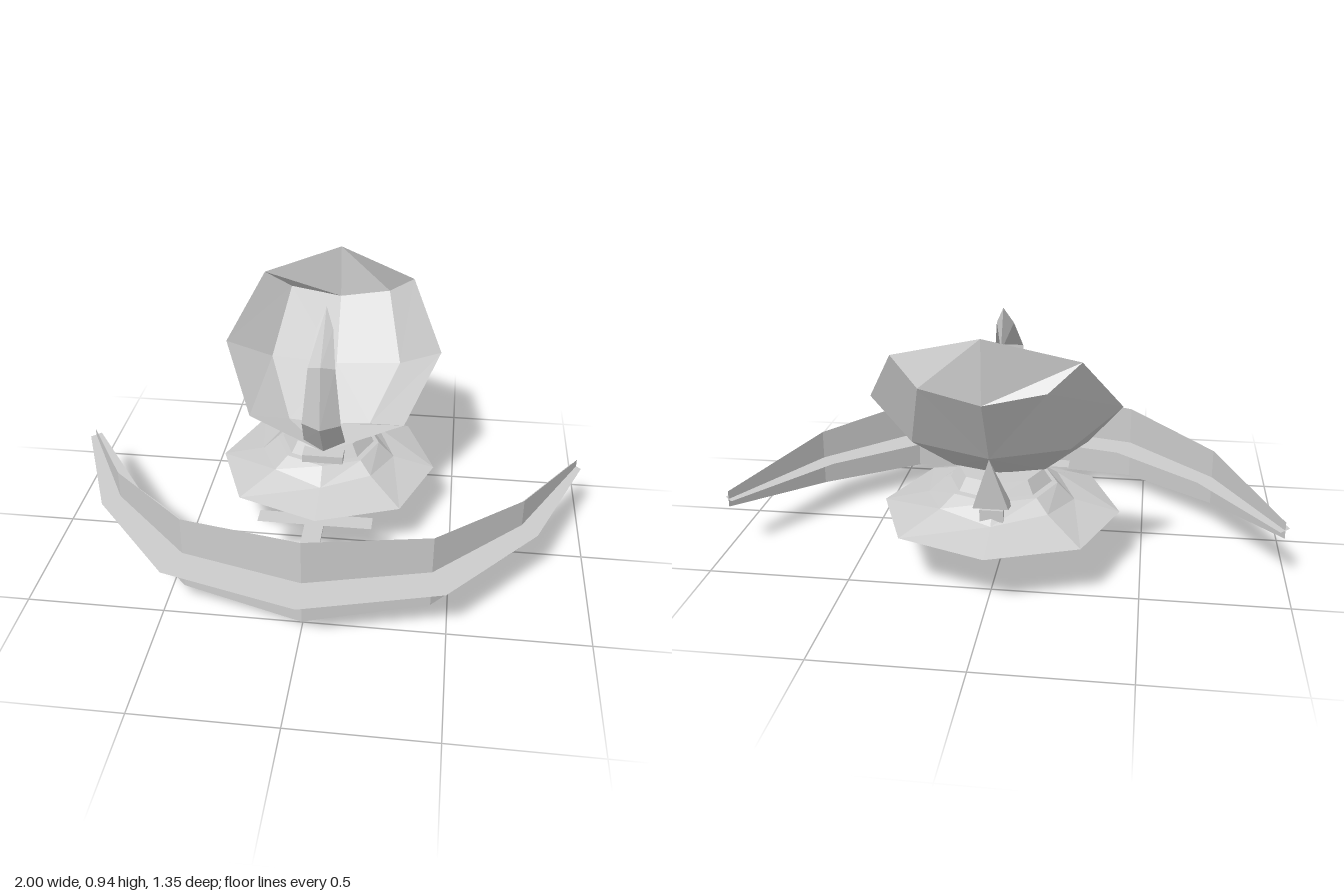
import * as THREE from 'three';

const grey = new THREE.MeshStandardMaterial({ color: 0xcccccc, flatShading: true, side: THREE.DoubleSide });
grey.name = 'light grey';

// Skins a row of equal-length cross-sections; wrap joins last point to first
function loft(rings, wrap = true) {
  const pos = [];
  const n = rings[0].length;
  for (let i = 0; i + 1 < rings.length; i++) {
    for (let j = 0; j < (wrap ? n : n - 1); j++) {
      const k = (j + 1) % n;
      const a = rings[i][j], b = rings[i][k], c = rings[i + 1][k], d = rings[i + 1][j];
      pos.push(...a, ...b, ...c, ...a, ...c, ...d);
    }
  }
  const g = new THREE.BufferGeometry();
  g.setAttribute('position', new THREE.Float32BufferAttribute(pos, 3));
  g.computeVertexNormals();
  return g;
}

// Eight points around the hull axis; axis and diagonal points may differ
function octagon(r, y, rDiag = r, yDiag = y) {
  return Array.from({ length: 8 }, (_, i) => {
    const a = (i * Math.PI) / 4;
    const rad = i % 2 ? rDiag : r;
    return [rad * Math.sin(a), i % 2 ? yDiag : y, -0.25 + rad * Math.cos(a)];
  });
}

export function createModel() {
  const group = new THREE.Group();
  const add = (name, geometry, x = 0, y = 0, z = 0) => {
    const mesh = new THREE.Mesh(geometry, grey);
    mesh.name = name;
    mesh.position.set(x, y, z);
    group.add(mesh);
    return mesh;
  };

  // Crescent: an upright and a flat sheet crossing each other
  // each station: outer x, z, inner x, z, half height
  const half = [
    [0, 0.67, 0, 0.395, 0.17],
    [0.49, 0.535, 0.39, 0.3, 0.145],
    [0.81, 0.16, 0.7, 0.04, 0.107],
    [1.0, -0.31, 0.965, -0.345, 0.03],
  ];
  const mirrored = half.slice(1).reverse().map(([a, b, c, d, h]) => [-a, b, -c, d, h]);
  const stations = [...mirrored, ...half];
  add('crescentFlatSheet', loft(stations.map(([ox, oz, ix, iz]) => [[ox, 0.2, oz], [ix, 0.2, iz]]), false));
  add('crescentUprightSheet', loft(stations.map(([ox, oz, ix, iz, h]) => {
    const x = (ox + ix) / 2, z = (oz + iz) / 2;
    return [[x, 0.2 - h, z], [x, 0.2 + h, z]];
  }), false));

  // Hull: umbrella top and shallow cone underside
  add('hull', loft([
    octagon(0, 0.135),
    octagon(0.42, 0.2, 0.43),
    octagon(0.26, 0.24, 0.26, 0.26),
    octagon(0.2, 0.3),
    octagon(0, 0.31),
  ]));

  // Turntable under the dish
  add('turntable', new THREE.CylinderGeometry(0.15, 0.18, 0.045, 8), 0, 0.327, -0.25);
  add('armMount', new THREE.BoxGeometry(0.155, 0.03, 0.1), 0, 0.325, -0.105);

  // Beam reaching forward, crossed sheets
  const beam = new THREE.PlaneGeometry(0.07, 0.42);
  add('beamFlat', beam, 0, 0.2, 0.16).rotation.x = -Math.PI / 2;
  add('beamUpright', beam, 0, 0.2, 0.16).rotation.set(-Math.PI / 2, Math.PI / 2, 0, 'YXZ');
  group.getObjectByName('beamUpright').rotation.set(Math.PI / 2, Math.PI / 2, 0);

  // Dish: rim, middle ring and deepest point, tilted 45 degrees upward
  // u runs up the rim plane, d is depth behind it
  const dishPoint = (x, u, d) => [
    x, 0.64 + Math.SQRT1_2 * (u - d), -0.385 - Math.SQRT1_2 * (u + d),
  ];
  const rim = Array.from({ length: 8 }, (_, i) => {
    const a = (i * Math.PI) / 4;
    return dishPoint(0.423 * Math.sin(a), 0.423 * Math.cos(a), 0);
  });
  const ring = [
    [0, 0.27, 0.148], [0.2, 0.286, 0.105], [0.26, 0, 0.16], [0.16, -0.268, 0.125],
    [0, -0.272, 0.146], [-0.16, -0.268, 0.125], [-0.26, 0, 0.16], [-0.2, 0.286, 0.105],
  ].map((p) => dishPoint(...p));
  const bottom = rim.map(() => dishPoint(0, 0, 0.208));
  add('dish', loft([rim, ring, bottom]));

  // Hooked feed arm: triangular section with its ridge outward
  // each station: ridge y, z, wing y, z, wing half width
  const arm = [
    [0.345, -0.085, 0.37, -0.12, 0.08],
    [0.505, 0.035, 0.5, -0.02, 0.073],
    [0.75, 0.007, 0.73, -0.025, 0.05],
    [0.905, -0.18, 0.84, -0.13, 0.03],
    [0.77, -0.245, 0.77, -0.245, 0],
  ];
  add('feedArm', loft(arm.map(([ry, rz, wy, wz, w]) => [[0, ry, rz], [w, wy, wz], [-w, wy, wz]])));

  // Rear strut holding the dish
  add('rearStrut', loft([
    [[-0.06, 0.28, -0.41], [0.06, 0.28, -0.41], [0.06, 0.305, -0.51], [-0.06, 0.305, -0.51]],
    [[0, 0.49, -0.53], [0, 0.49, -0.53], [0, 0.49, -0.53], [0, 0.49, -0.53]],
  ]));
  add('strutFoot', new THREE.BoxGeometry(0.08, 0.05, 0.02), 0, 0.265, -0.48);

  // Small aerials below
  add('centreAerial', new THREE.BoxGeometry(0.016, 0.045, 0.005), 0, 0.122, -0.245);
  add('frontAerial', new THREE.PlaneGeometry(0.02, 0.065), -0.03, 0.0325, -0.088);

  return group;
}
